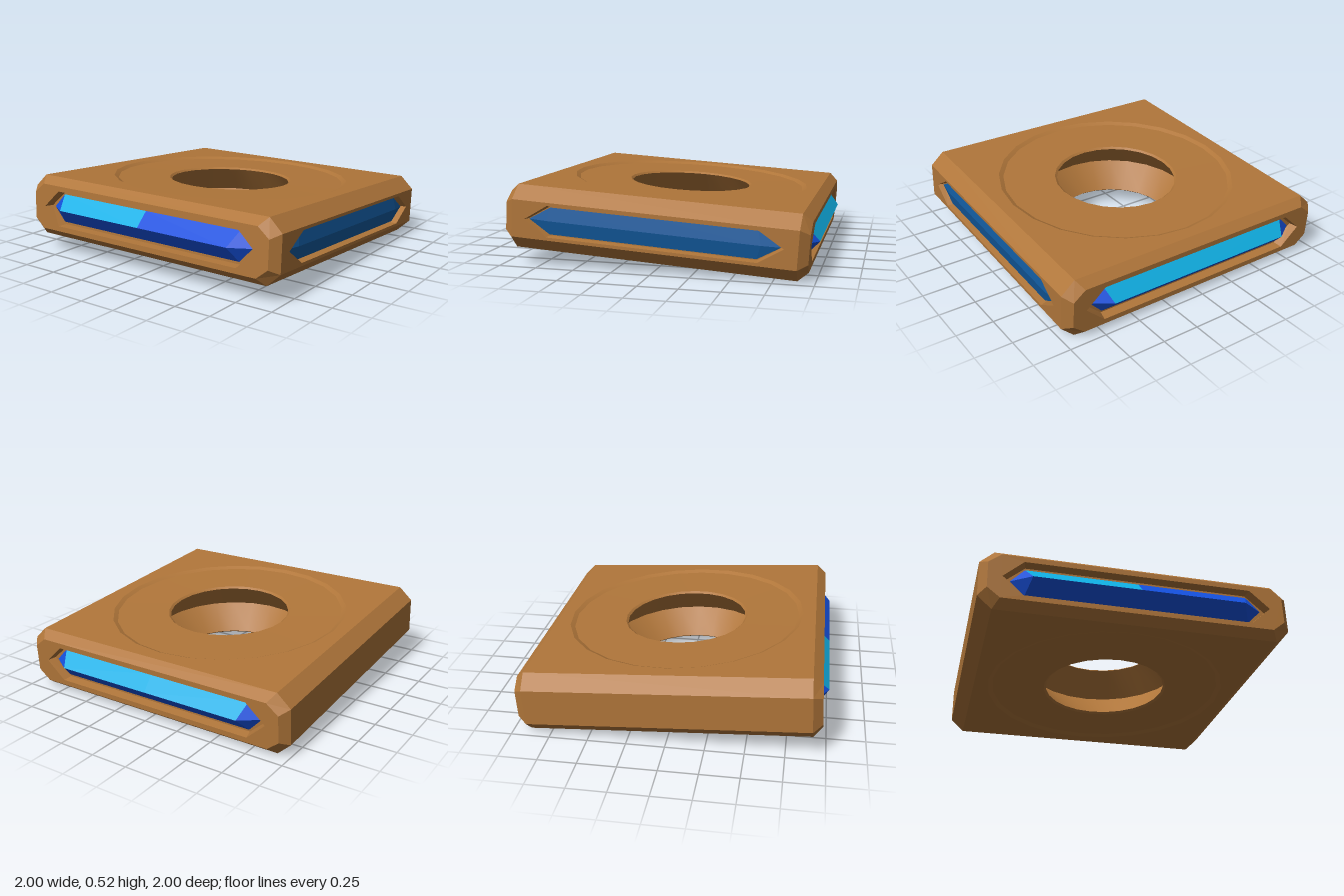
import * as THREE from 'three';
import { toCreasedNormals } from 'three/addons/utils/BufferGeometryUtils.js';

const V = (x, y, z) => new THREE.Vector3(x, y, z);
const mat = (name, color) => {
  const m = new THREE.MeshStandardMaterial({ color, side: THREE.DoubleSide });
  m.name = name;
  return m;
};

// Flat faces from convex polygons, each turned away from the model's centre
function faces(polys) {
  const pos = [];
  for (const p of polys) {
    for (let i = 1; i < p.length - 1; i++) {
      let [a, b, c] = [p[0], p[i], p[i + 1]];
      const n = b.clone().sub(a).cross(c.clone().sub(a));
      if (n.dot(a.clone().add(b).add(c)) < 0) [b, c] = [c, b];
      for (const v of [a, b, c]) pos.push(v.x, v.y, v.z);
    }
  }
  const g = new THREE.BufferGeometry();
  g.setAttribute('position', new THREE.Float32BufferAttribute(pos, 3));
  g.computeVertexNormals();
  return g;
}

// Flat panel with an optional hole; map places (u, v) in space
function panel(outline, hole, map) {
  const to2 = (l) => l.map(([u, v]) => new THREE.Vector2(u, v));
  const shape = new THREE.Shape(to2(outline));
  if (hole) shape.holes.push(new THREE.Path(to2(hole)));
  const p = new THREE.ShapeGeometry(shape).toNonIndexed().attributes.position;
  const tris = [];
  for (let i = 0; i < p.count; i += 3) {
    tris.push([0, 1, 2].map((k) => map(p.getX(i + k), p.getY(i + k))));
  }
  return faces(tris);
}

// Long hexagon: flat half length, tip half length, half height
const hex = (f, t, h) => [[-f, h], [f, h], [t, 0], [f, -h], [-f, -h], [-t, 0]];
const rect = (a, b) => [[-a, -b], [a, -b], [a, b], [-a, b]];

export function createModel() {
  const root = new THREE.Group();
  const slab = new THREE.Group();
  slab.name = 'tiltedSlab';
  root.add(slab);

  const wood = mat('warm brown', 0xb0763a);
  const cyan = mat('cyan', 0x10b0e4);
  const blue = mat('bright blue', 0x1450dc);
  const deep = mat('deep blue', 0x125a9e);
  const add = (name, geo, m, parent = slab) => {
    const mesh = new THREE.Mesh(geo, m);
    mesh.name = name;
    parent.add(mesh);
  };

  const X = 0.905, XE = 0.965, Y = 0.205, SEG = 24, DISH = 0.82;
  const octagon = (z, y, cz, cy) => [
    [z - cz, y], [z, y - cy], [z, cy - y], [z - cz, -y],
    [cz - z, -y], [-z, cy - y], [-z, y - cy], [cz - z, y],
  ];
  const full = octagon(1, Y, 0.09, 0.085);
  const end = octagon(0.95, 0.155, 0.08, 0.065);
  const frontWindow = hex(0.67, 0.82, 0.1);
  const endWindow = hex(0.73, 0.86, 0.12);
  const frontMap = (d) => (u, v) => V(u, v, d);
  const endMap = (s, d) => (u, v) => V(s * d, v, u);

  // Top and bottom faces around the round dish
  const circle = Array.from({ length: SEG }, (_, i) => {
    const a = (i / SEG) * Math.PI * 2;
    return [DISH * Math.sin(a), DISH * Math.cos(a)];
  });
  for (const s of [1, -1]) {
    add(s > 0 ? 'topFace' : 'bottomFace',
      panel(rect(X, 0.91), circle, (u, v) => V(u, s * Y, v)), wood);
  }

  // Shallow dishes and the bore, which widens at mid height
  const profile = [
    [DISH, Y], [0.79, 0.19], [0.43, 0.187], [0.415, 0.175], [0.56, 0],
    [0.415, -0.175], [0.43, -0.187], [0.79, -0.19], [DISH, -Y],
  ].map(([r, y]) => new THREE.Vector2(r, y));
  add('dishAndBore', toCreasedNormals(new THREE.LatheGeometry(profile, SEG), 0.45), wood);

  // Bevels along the length and around both ends, and the plain back
  const bevels = [];
  for (let i = 0; i < 8; i++) {
    const a = full[i], b = full[(i + 1) % 8], c = end[(i + 1) % 8], d = end[i];
    if (i % 2 === 0 || i === 5) {
      bevels.push([V(-X, a[1], a[0]), V(X, a[1], a[0]), V(X, b[1], b[0]), V(-X, b[1], b[0])]);
    }
    for (const s of [1, -1]) {
      bevels.push([V(s * X, a[1], a[0]), V(s * X, b[1], b[0]), V(s * XE, c[1], c[0]), V(s * XE, d[1], d[0])]);
    }
  }
  add('bevelsAndBack', faces(bevels), wood);

  // Windowed faces with sunken trays
  function tray(name, outline, hole, mapAt, d, depth) {
    add(name + 'Face', panel(outline, hole, mapAt(d)), wood);
    const inner = hole.map(([u, v]) => [u * 0.985, v * 0.95]);
    add(name + 'RecessWall', faces(hole.map((p, i) => {
      const j = (i + 1) % hole.length;
      return [mapAt(d)(...p), mapAt(d)(...hole[j]), mapAt(d - depth)(...inner[j]), mapAt(d - depth)(...inner[i])];
    })), wood);
    add(name + 'RecessFloor', panel(inner, null, mapAt(d - depth)), wood);
  }
  tray('front', rect(X, 0.12), frontWindow, frontMap, 1, 0.05);
  for (const s of [1, -1]) {
    tray(s > 0 ? 'leftEnd' : 'rightEnd', end, endWindow, (d) => endMap(s, d), XE, 0.06);
  }

  // Ridged gems: upper facet in two halves, lower facet and pointed tips
  function gem(name, f, t, h, r, base, ridge, mapAt, upperA, upperB, lower) {
    const g = new THREE.Group();
    g.name = name;
    slab.add(g);
    const b = mapAt(base), k = mapAt(ridge);
    add('upperFacetA', faces([[b(-f, h), b(0, h), k(0, 0), k(-r, 0)]]), upperA, g);
    add('upperFacetB', faces([[b(0, h), b(f, h), k(r, 0), k(0, 0)]]), upperB, g);
    const rest = [[b(-f, -h), b(f, -h), k(r, 0), k(-r, 0)]];
    for (const s of [1, -1]) for (const v of [h, -h]) {
      rest.push([b(s * f, v), b(s * t, 0), k(s * r, 0)]);
    }
    add('lowerFacetAndTips', faces(rest), lower, g);
  }
  gem('frontGem', 0.66, 0.8, 0.086, 0.68, 0.965, 0.98, frontMap, deep, deep, deep);
  gem('leftEndGem', 0.72, 0.81, 0.095, 0.68, 0.915, 1, (d) => endMap(1, d), cyan, cyan, blue);
  gem('rightEndGem', 0.72, 0.81, 0.095, 0.68, 0.915, 1, (d) => endMap(-1, d), cyan, blue, blue);

  // The slab leans down towards its left
  slab.rotation.z = -0.061;
  slab.position.y = 0.26;
  return root;
}
